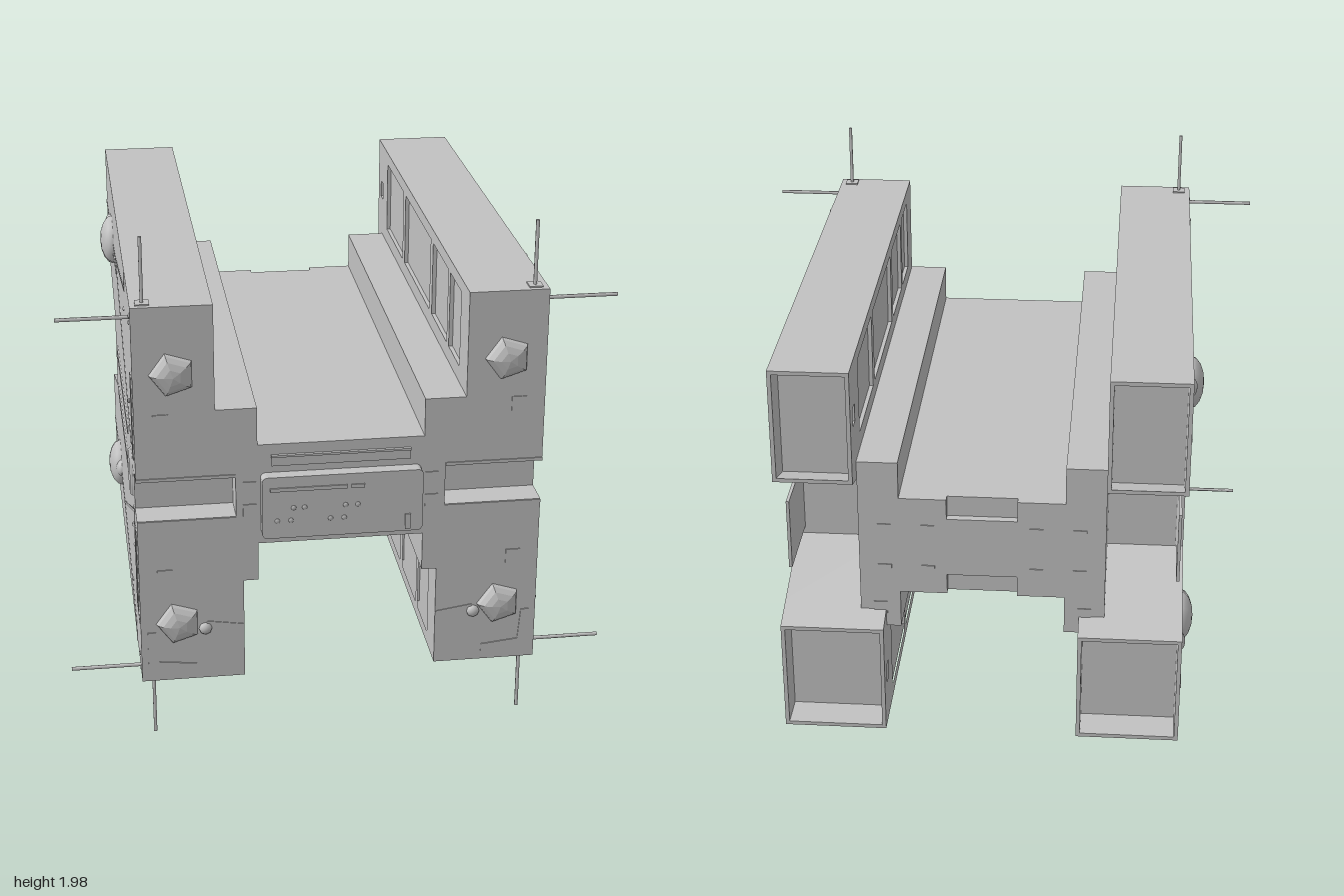
import * as THREE from 'three';

const grey = new THREE.MeshStandardMaterial({ color: 0xc2c2c2 });
grey.name = 'hull grey';

export function createModel() {
  const root = new THREE.Group();
  root.name = 'blockShip';
  root.position.x = -0.025;

  const add = (name, geo, x = 0, y = 0, z = 0) => {
    const m = new THREE.Mesh(geo, grey);
    m.name = name;
    m.position.set(x, y, z);
    root.add(m);
    return m;
  };
  const box = (name, w, h, d, x, y, z) => add(name, new THREE.BoxGeometry(w, h, d), x, y, z);
  const toShape = pts => new THREE.Shape(pts.map(p => new THREE.Vector2(p[0], p[1])));
  const rect = (x0, x1, y0, y1) => [[x0, y0], [x1, y0], [x1, y1], [x0, y1]];

  // Cross-section in x,y (right half given, mirrored) run along z
  const section = (name, half, z0, z1) => {
    const pts = [...half, ...half.map(([x, y]) => [-x, y]).reverse()];
    const geo = new THREE.ExtrudeGeometry(toShape(pts), { depth: z1 - z0, bevelEnabled: false });
    return add(name, geo, 0, 0, z0);
  };
  // Profile in z,y run along x on side s
  const slab = (name, pts, xa, xb, s, holes = []) => {
    const shape = toShape(pts);
    holes.forEach(h => shape.holes.push(toShape(h)));
    const geo = new THREE.ExtrudeGeometry(shape, { depth: xb - xa, bevelEnabled: false });
    geo.rotateY(-Math.PI / 2);
    return add(name, geo, s > 0 ? xb : -xa);
  };

  // Hull: H-shaped sections, the front one with side slots
  const hSection = (inset, slot) => [
    [0.305, 1.165], [0.305, 1.31], [0.455 + inset, 1.31], [0.455 + inset, 1.71], [0.745, 1.71], ...slot,
    [0.745, 0.22], [0.36 + inset, 0.22], [0.36 + inset, 0.62], [0.305, 0.62], [0.305, 0.77]];
  section('hullFront', hSection(0, [[0.745, 1.04], [0.385, 1.04], [0.385, 0.885], [0.745, 0.885]]), 0.83, 0.945);
  section('hullMiddle', hSection(0.015, []), -0.54, 0.83);
  section('spineRear', [[0.305, 1.165], [0.305, 1.31], [0.455, 1.31], [0.455, 0.62], [0.305, 0.62], [0.305, 0.77]], -0.87, -0.54);
  section('spineEnd', [[0.13, 1.085], [0.13, 1.165], [0.305, 1.165], [0.305, 1.31], [0.455, 1.31],
    [0.455, 0.62], [0.305, 0.62], [0.305, 0.77], [0.13, 0.77], [0.13, 0.85]], -0.9, -0.87);

  // Low domes
  const dome = (name, r, h, sides, x, y, z, axis, s) => {
    let geo = new THREE.SphereGeometry(r, sides, 4, 0, Math.PI * 2, 0, Math.PI / 2);
    geo.scale(1, h / r, 1);
    if (axis === 'z') geo.rotateX(Math.PI / 2);
    else geo.rotateZ(-s * Math.PI / 2);
    if (sides < 6) {
      geo = geo.toNonIndexed();
      geo.computeVertexNormals();
    }
    return add(name, geo, x, y, z);
  };
  const rod = (name, len, x, y, z, horizontal) => {
    const m = add(name, new THREE.CylinderGeometry(0.007, 0.007, len, 6), x, y, z);
    if (horizontal) m.rotation.z = Math.PI / 2;
  };

  for (const s of [1, -1]) {
    for (const up of [true, false]) {
      const level = up ? 'upper' : 'lower';
      const f = y => up ? y : 1.93 - y;
      const flip = pts => pts.map(([z, y]) => [z, f(y)]);
      const inner = up ? 0.455 : 0.36;

      // Rear arm with a shallow open end
      slab(level + 'Arm', flip([[-0.54, 1.13], [-0.87, 1.23], [-0.87, 1.71], [-0.54, 1.71]]), inner + 0.015, 0.745, s);
      slab(level + 'ArmOuterWall', flip([[-0.87, 1.23], [-1, 1.27], [-1, 1.71], [-0.87, 1.71]]), 0.73, 0.745, s);
      slab(level + 'ArmOuterEdge', flip([[-0.87, 1.695], [-1, 1.695], [-1, 1.71], [-0.87, 1.71]]), inner, 0.745, s);
      slab(level + 'ArmSlopeEdge', flip([[-0.87, 1.23], [-1, 1.27], [-1, 1.285], [-0.87, 1.245]]), inner, 0.745, s);

      // Inner wall frame with recessed panels
      const holes = [[0.60, 0.80], [0.26, 0.56], [-0.34, 0.21], [-0.78, -0.39]]
        .map(([a, b]) => flip(rect(a, b, 1.37, 1.66)));
      holes.push(flip(rect(-0.94, -0.89, 1.47, 1.54)));
      slab(level + 'InnerFrame', flip([[0.83, 1.31], [0.83, 1.71], [-1, 1.71], [-1, 1.27], [-0.87, 1.23], [-0.87, 1.31]]),
        inner, inner + 0.015, s, holes);

      // Domes on the front and side
      const fy = up ? 1.455 : 0.46, sy = up ? 1.475 : 0.46;
      dome('frontDome', 0.085, 0.042, 5, s * 0.603, fy, 0.944, 'z', s);
      dome('sideDome', 0.105, 0.052, 8, s * 0.744, sy, -0.49, 'x', s);
      dome('sideKnob', 0.04, 0.025, 8, s * 0.744, up ? 1.51 : 0.41, -0.605, 'x', s);
      if (!up) {
        dome('sideKnob', 0.04, 0.025, 8, s * 0.744, 0.47, -0.41, 'x', s);
        dome('frontKnob', 0.025, 0.02, 8, s * 0.505, 0.43, 0.944, 'z', s);
      }
      // Aerials
      rod('verticalAerial', 0.25, s * 0.7, f(1.83), 0.9);
      rod('sideAerial', 0.26, s * 0.875, f(1.662), 0.9, true);
      box('aerialBase', 0.05, 0.008, 0.05, s * 0.7, f(1.711), 0.9);

      // Front hatches and side slots
      box('frontHatch', 0.055, 0.055, 0.008, s * 0.65, f(1.275), 0.945);
      box('smallHatch', 0.048, 0.048, 0.008, s * 0.335, up ? 0.997 : 0.907, 0.945);
      box('sideSlotCover', 0.008, 0.32, 0.06, s * 0.745, f(1.27), 0.87);
      box('sideRail', 0.012, 0.03, 0.83, s * 0.745, up ? 1.055 : 0.872, 0.095);
      box('slotLip', 0.36, 0.012, 0.008, s * 0.565, up ? 1.048 : 0.877, 0.945);
      for (const [z, y] of [[0.47, 1.53], [0.61, 1.22], [0.70, 1.26], [0.91, 1.67], [0.87, 1.63]])
        dome('rivet', 0.01, 0.005, 6, s * 0.745, f(y), z, 'x', s);
    }

    // Thin seams along the outer side
    const seam = (z0, y0, z1, y1) => {
      const m = box('sideSeam', 0.006, 0.01, Math.hypot(z1 - z0, y1 - y0), s * 0.745, (y0 + y1) / 2, (z0 + z1) / 2);
      m.rotation.x = Math.atan2(y0 - y1, z1 - z0);
    };
    [[0.73, 1.10, -0.18, 1.50], [0.57, 1.64, -0.18, 1.50], [-0.18, 1.50, -0.4, 1.48], [-0.17, 1.44, -0.4, 1.44],
      [0.57, 1.64, 0.57, 1.71], [0.82, 0.87, -0.16, 0.43], [0.635, 0.30, -0.16, 0.43], [-0.16, 0.43, -0.4, 0.46],
      [0.635, 0.30, 0.635, 0.22], [-0.6, 1.485, -0.99, 1.485], [-0.6, 0.455, -0.99, 0.455],
      [0.775, 0.87, 0.775, 0.47], [0.775, 0.47, 0.94, 0.47]].forEach(l => seam(...l));

    // Six-sided ring on the side
    const ring = add('sideRing', new THREE.TorusGeometry(0.082, 0.012, 4, 6), s * 0.745, 0.965, 0.68);
    ring.rotation.y = Math.PI / 2;

    // Plate standing in the rear notch
    box('notchPlate', 0.012, 0.28, 0.315, s * 0.722, 0.97, -0.6975);

    // Angled marker plate and seam at the foot of the front
    const mark = [[0.72, 0.425], [0.69, 0.425], [0.68, 0.3], [0.54, 0.285], [0.54, 0.255], [0.72, 0.255]];
    add('footPlate', new THREE.ExtrudeGeometry(toShape(mark.map(([x, y]) => [s * x, y])),
      { depth: 0.006, bevelEnabled: false }), 0, 0, 0.943);
    const frontSeam = box('frontSeam', 0.14, 0.01, 0.006, s * 0.43, 0.445, 0.945);
    frontSeam.rotation.z = s * 0.15;

    // Small slits on the rear of the spine
    for (const x of [0.2, 0.36])
      for (const y of [0.88, 1.05]) box('rearSlit', 0.05, 0.015, 0.008, s * x, y, -0.9);
    box('rearHatch', 0.05, 0.05, 0.008, s * 0.38, 0.7, -0.9);
  }

  // Front control panel with rounded corners
  const w = 0.295, h = 0.122, r = 0.02;
  const panel = new THREE.Shape();
  panel.absarc(w - r, h - r, r, 0, Math.PI / 2);
  panel.absarc(-w + r, h - r, r, Math.PI / 2, Math.PI);
  panel.absarc(-w + r, -h + r, r, Math.PI, Math.PI * 1.5);
  panel.absarc(w - r, -h + r, r, Math.PI * 1.5, Math.PI * 2);
  add('frontPanel', new THREE.ExtrudeGeometry(panel, { depth: 0.05, bevelEnabled: false, curveSegments: 4 }), 0, 0.932, 0.943);
  box('panelBar', 0.28, 0.014, 0.008, -0.125, 1.005, 0.994);
  box('panelBar', 0.05, 0.014, 0.008, 0.055, 1.005, 0.994);
  box('panelSwitch', 0.02, 0.06, 0.008, 0.24, 0.85, 0.994);
  for (const [x, y] of [[-0.24, 0.88], [-0.19, 0.88], [-0.18, 0.93], [-0.14, 0.93], [-0.045, 0.88], [0.005, 0.88], [0.01, 0.93], [0.055, 0.93]])
    dome('panelButton', 0.01, 0.004, 8, x, y, 0.993, 'z', 1);
  box('frontGrille', 0.51, 0.035, 0.012, 0, 1.098, 0.945);
  box('grilleLip', 0.51, 0.008, 0.02, 0, 1.12, 0.947);

  // Equipment hanging under the spine
  box('hangingPlate', 0.04, 0.18, 0.08, -0.22, 0.68, 0.08);
  box('hangingBlock', 0.09, 0.12, 0.3, -0.155, 0.71, 0.12);
  box('hangingBlock', 0.08, 0.11, 0.3, 0.165, 0.715, 0.12);
  const hook = [[0.21, 0.77], [0.235, 0.77], [0.235, 0.61], [0.145, 0.535], [0.12, 0.545], [0.21, 0.625]];
  add('bentHook', new THREE.ExtrudeGeometry(toShape(hook), { depth: 0.08, bevelEnabled: false }), 0, 0, 0.04);

  return root;
}
